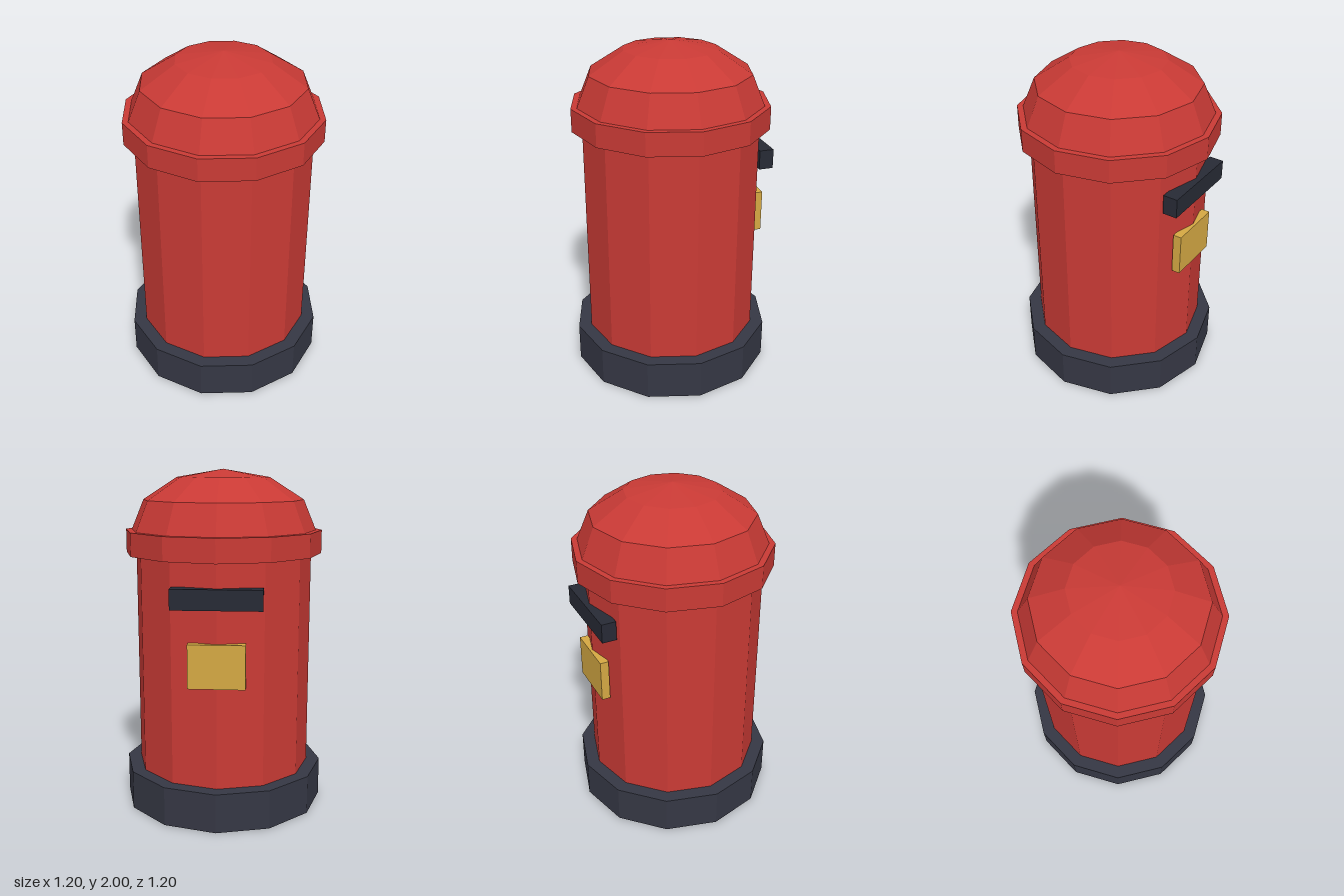
import * as THREE from 'three';

const SIDES = 12;

function paint(color) {
  return new THREE.MeshStandardMaterial({ color, flatShading: true });
}

export function createModel() {
  const group = new THREE.Group();
  const red = paint(0xc93a35);
  const dark = paint(0x353744);
  const slotDark = paint(0x272a35);
  const brass = paint(0xd4a843);

  function add(name, geometry, material, x, y, z) {
    const mesh = new THREE.Mesh(geometry, material);
    mesh.name = name;
    mesh.position.set(x, y, z);
    group.add(mesh);
  }

  // Upright twelve-sided drum between two heights
  function drum(name, radius, y0, y1, material) {
    const geometry = new THREE.CylinderGeometry(radius, radius, y1 - y0, SIDES);
    add(name, geometry, material, 0, (y0 + y1) / 2, 0);
  }

  // Stacked pillar
  drum('base', 0.6, 0, 0.23, dark);
  drum('body', 0.52, 0.23, 1.515, red);
  drum('collar', 0.58, 1.515, 1.65, red);

  // Faceted, slightly flattened half-sphere cap
  const dome = new THREE.SphereGeometry(0.545, SIDES, 3, 0, Math.PI * 2, 0, Math.PI / 2);
  dome.scale(1, 0.35 / 0.545, 1);
  add('domeCap', dome, red, 0, 1.65, 0);

  // Letter slot and notice plate on the back
  add('letterSlot', new THREE.BoxGeometry(0.505, 0.115, 0.085), slotDark, 0, 1.318, -0.508);
  add('noticePlate', new THREE.BoxGeometry(0.32, 0.25, 0.05), brass, 0, 0.945, -0.51);

  return group;
}
